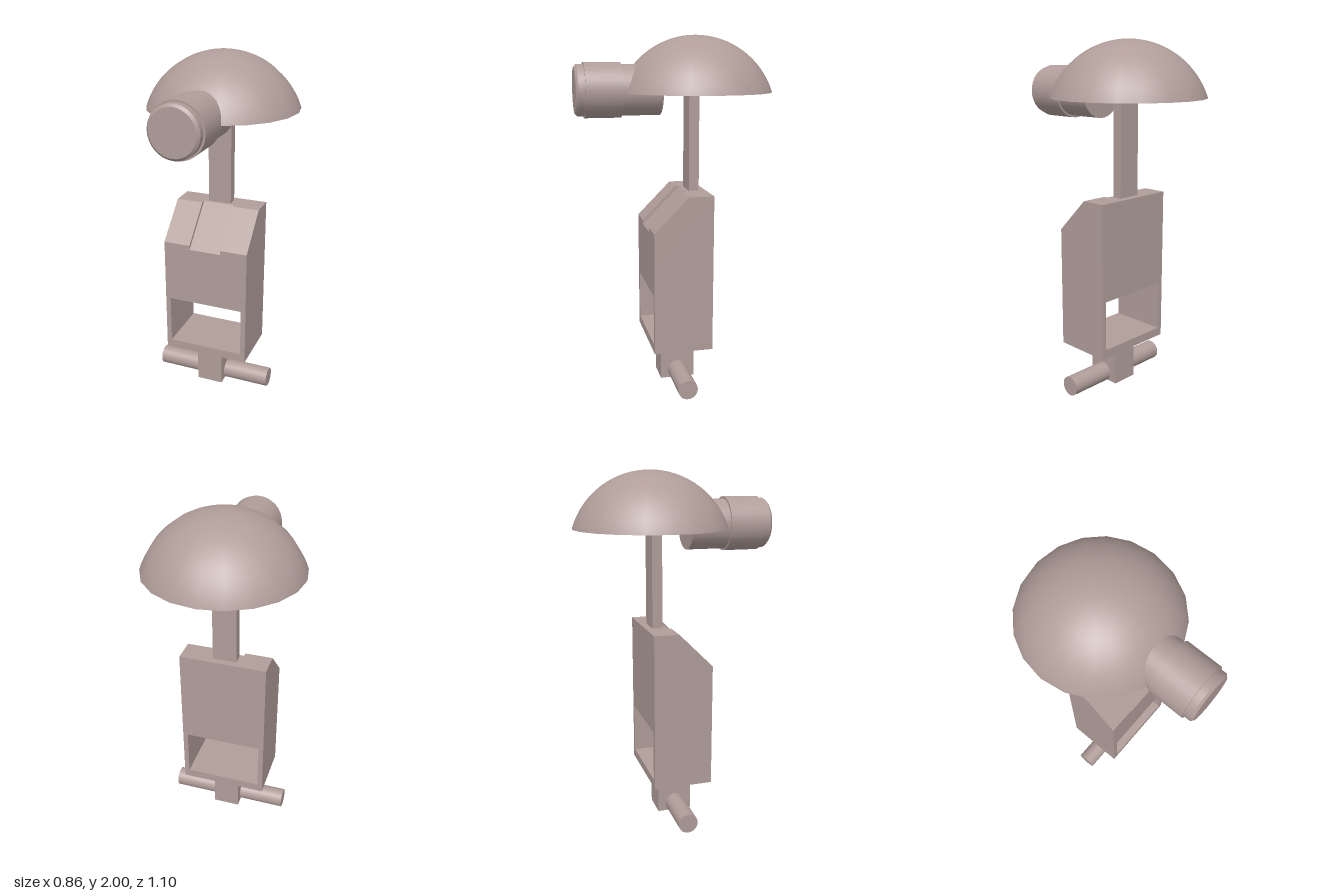
import * as THREE from 'three';

export function createModel() {
  const group = new THREE.Group();
  const clay = new THREE.MeshStandardMaterial({ color: 0xb09d99 });
  clay.name = 'warm grey';

  const add = (name, geometry, x = 0, y = 0, z = 0) => {
    const mesh = new THREE.Mesh(geometry, clay);
    mesh.name = name;
    mesh.position.set(x, y, z);
    group.add(mesh);
    return mesh;
  };
  const shapeOf = (points) => new THREE.Shape(points.map(([x, y]) => new THREE.Vector2(x, y)));

  // Cross bar and foot post
  const bar = new THREE.CylinderGeometry(0.056, 0.056, 0.7, 32);
  bar.rotateZ(Math.PI / 2);
  add('crossBar', bar, 0, 0.056, -0.005);
  add('footPost', new THREE.BoxGeometry(0.156, 0.236, 0.2), 0, 0.126, -0.005);

  // Lower body: a frame with a window right through it
  const back = -0.172, front = 0.164, split = 0.75;
  const frame = shapeOf([[-0.25, 0.244], [0.25, 0.244], [0.25, split], [-0.25, split]]);
  frame.holes.push(new THREE.Path(
    [[-0.221, 0.294], [-0.221, 0.582], [0.221, 0.582], [0.221, 0.294]].map(([x, y]) => new THREE.Vector2(x, y))
  ));
  add('bodyFrame', new THREE.ExtrudeGeometry(frame, { depth: front - back, bevelEnabled: false }), 0, 0, back);

  // Upper body: slices of the sloped side profile, the middle one sunk into a groove
  const slice = (name, x0, x1, sink) => {
    const profile = shapeOf([
      [-front, split], [-back, split], [-back, 1.14], [0.031 + sink, 1.14], [-front, 0.945 - sink],
    ]);
    const geometry = new THREE.ExtrudeGeometry(profile, { depth: x1 - x0, bevelEnabled: false });
    geometry.rotateY(Math.PI / 2);
    add(name, geometry, x0);
  };
  slice('bodyTopRight', -0.25, -0.093, 0);
  slice('bodyGroove', -0.093, 0.093, 0.025);
  slice('bodyTopLeft', 0.093, 0.25, 0);

  // Neck carrying the dome
  add('neck', new THREE.BoxGeometry(0.136, 0.57, 0.058), -0.002, 1.415, -0.103);

  // Dome: a spherical cap closed by a flat base
  const rimY = 1.69, rimR = 0.43, height = 0.31;
  const R = (rimR * rimR + height * height) / (2 * height);
  const cap = new THREE.SphereGeometry(R, 20, 16, 0, Math.PI * 2, 0, Math.asin(rimR / R));
  add('dome', cap, 0, 2 - R, -0.122);
  const base = new THREE.CircleGeometry(rimR, 20);
  base.rotateX(Math.PI / 2);
  add('domeBase', base, 0, rimY, -0.122);

  // Lamp barrel: stepped tube pointing forward
  const barrel = (name, r0, r1, z0, z1) => {
    const geometry = new THREE.CylinderGeometry(r1, r0, z1 - z0, 32);
    geometry.rotateX(Math.PI / 2);
    add(name, geometry, 0, 1.705, (z0 + z1) / 2);
  };
  barrel('barrelRear', 0.139, 0.139, 0.083, 0.3);
  barrel('barrelCollar', 0.15, 0.15, 0.3, 0.5);
  barrel('barrelNose', 0.139, 0.139, 0.5, 0.537);
  barrel('barrelTip', 0.139, 0.125, 0.537, 0.55);

  return group;
}
